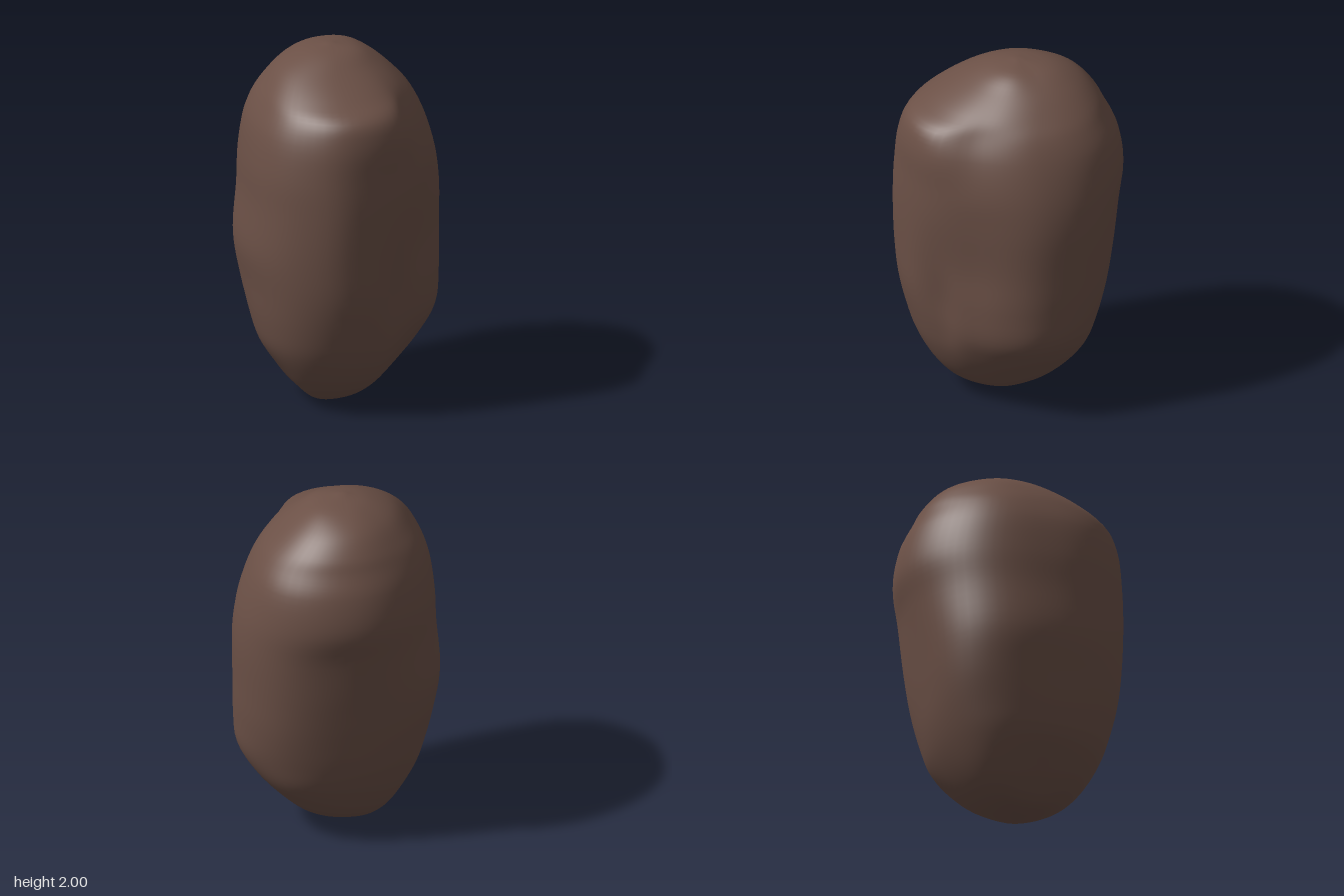
import * as THREE from 'three';

// Cross-sections: height, then outward reach in eight directions,
// starting at the front (+z) and turning through +x, back and -x.
const SECTIONS = [
  [0, 0.07, -0.02, -0.1, -0.12, -0.07, 0.02, 0.1, 0.12],
  [0.03, 0.2, 0.13, 0.08, 0.05, 0.08, 0.16, 0.2, 0.25],
  [0.1, 0.32, 0.24, 0.2, 0.2, 0.2, 0.26, 0.28, 0.35],
  [0.2, 0.41, 0.325, 0.31, 0.32, 0.29, 0.34, 0.36, 0.44],
  [0.35, 0.49, 0.42, 0.45, 0.44, 0.38, 0.42, 0.46, 0.53],
  [0.5, 0.535, 0.485, 0.54, 0.5, 0.435, 0.475, 0.505, 0.58],
  [0.7, 0.58, 0.505, 0.56, 0.55, 0.475, 0.535, 0.54, 0.62],
  [0.92, 0.595, 0.505, 0.565, 0.58, 0.51, 0.57, 0.575, 0.64],
  [1.2, 0.6, 0.52, 0.57, 0.605, 0.56, 0.565, 0.555, 0.64],
  [1.4, 0.6, 0.515, 0.545, 0.61, 0.598, 0.565, 0.545, 0.63],
  [1.6, 0.595, 0.465, 0.48, 0.575, 0.565, 0.53, 0.515, 0.595],
  [1.72, 0.555, 0.4, 0.415, 0.51, 0.51, 0.48, 0.465, 0.54],
  [1.8, 0.42, 0.335, 0.355, 0.455, 0.47, 0.43, 0.41, 0.45],
  [1.9, 0.23, 0.21, 0.25, 0.35, 0.38, 0.34, 0.31, 0.29],
  [1.97, 0.09, 0.1, 0.13, 0.22, 0.24, 0.21, 0.17, 0.13],
  [2, -0.05, -0.057, -0.03, 0.014, 0.05, 0.057, 0.03, -0.014],
];

// Hollows (positive depth) and swellings (negative):
// angle from the front in degrees, height, angular width, vertical width, depth
const DENTS = [
  [18, 0.66, 14, 0.26, 0.045],
  [58, 0.6, 15, 0.15, -0.01],
  [-21, 1.2, 13, 0.5, -0.018],
  [22, 1.65, 15, 0.16, -0.02],
  [165, 1.12, 16, 0.14, 0.013],
];

const AROUND = 64, UP = 72;

// Smooth closed interpolation of eight values
function wrapCubic(v, u) {
  const i = Math.floor(u), t = u - i;
  const [a, b, c, d] = [-1, 0, 1, 2].map((k) => v[(i + k + 8) % 8]);
  return b + 0.5 * t * (c - a + t * (2 * a - 5 * b + 4 * c - d + t * (3 * (b - c) + d - a)));
}

function dentDepth(angle, y) {
  let depth = 0;
  for (const [deg, h, wa, wy, amount] of DENTS) {
    const da = (((angle - deg + 540) % 360) - 180) / wa, dy = (y - h) / wy;
    depth += amount * Math.exp(-da * da - dy * dy);
  }
  return depth;
}

function stoneGeometry() {
  const rings = SECTIONS.map(([y, ...reach]) => {
    const cx = (reach[2] - reach[6]) / 2, cz = (reach[0] - reach[4]) / 2;
    const radii = reach.map((h, k) => {
      const a = (k * Math.PI) / 4;
      return Math.max(0, h - cx * Math.sin(a) - cz * Math.cos(a));
    });
    return { y, cx, cz, radii };
  });
  // the two ends close to a point
  rings[0].radii.fill(0);
  rings[rings.length - 1].radii.fill(0);

  // One smooth rib per angle, running from bottom to top
  const ribs = [];
  for (let j = 0; j < AROUND; j++) {
    const a = (j / AROUND) * Math.PI * 2;
    const points = rings.map(({ y, cx, cz, radii }) => {
      const r = wrapCubic(radii, (j / AROUND) * 8);
      const s = r > 0.1 ? r - dentDepth((a * 180) / Math.PI, y) : r;
      return new THREE.Vector3(cx + s * Math.sin(a), y, cz + s * Math.cos(a));
    });
    ribs.push(new THREE.CatmullRomCurve3(points).getPoints(UP));
  }

  const position = [], index = [];
  const add = (p) => position.push(p.x, Math.min(2, Math.max(0, p.y)), p.z);
  for (let i = 1; i < UP; i++) for (const rib of ribs) add(rib[i]);
  const bottom = position.length / 3, top = bottom + 1;
  add(ribs[0][0]);
  add(ribs[0][UP]);
  for (let j = 0; j < AROUND; j++) {
    const k = (j + 1) % AROUND, last = (UP - 2) * AROUND;
    index.push(bottom, k, j, top, last + j, last + k);
    for (let i = 0; i < UP - 2; i++) {
      const p = i * AROUND, q = p + AROUND;
      index.push(p + j, p + k, q + k, p + j, q + k, q + j);
    }
  }
  const geometry = new THREE.BufferGeometry();
  geometry.setAttribute('position', new THREE.Float32BufferAttribute(position, 3));
  geometry.setIndex(index);
  geometry.computeVertexNormals();
  return geometry;
}

export function createModel() {
  const brown = new THREE.MeshStandardMaterial({ color: 0x6b5046 });
  brown.name = 'earthy brown';
  const stone = new THREE.Mesh(stoneGeometry(), brown);
  stone.name = 'stone';
  const model = new THREE.Group();
  model.name = 'lumpyStone';
  model.add(stone);
  return model;
}
